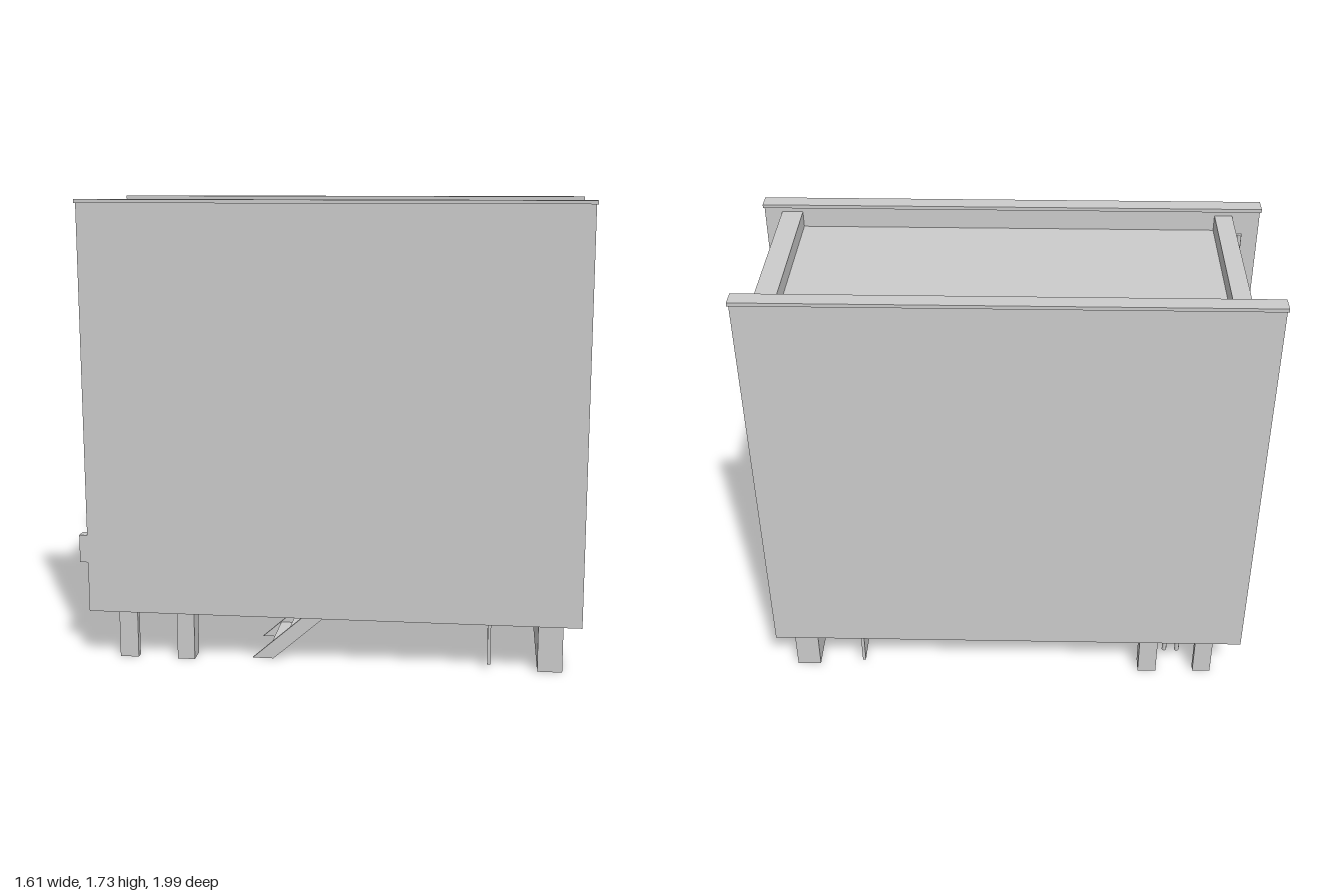
import * as THREE from 'three';

const concrete = new THREE.MeshStandardMaterial({ color: 0xcccccc });
concrete.name = 'concreteGrey';

export function createModel() {
  const model = new THREE.Group();
  model.name = 'buildingSection';
  const building = new THREE.Group();
  building.name = 'building';
  building.rotation.y = THREE.MathUtils.degToRad(30.3);
  model.add(building);

  const add = (name, geometry) => {
    const mesh = new THREE.Mesh(geometry, concrete);
    mesh.name = name;
    building.add(mesh);
    return mesh;
  };
  // Box given by its limits on each axis
  const box = (name, x0, x1, y0, y1, z0, z1) =>
    add(name, new THREE.BoxGeometry(x1 - x0, y1 - y0, z1 - z0)
      .translate((x0 + x1) / 2, (y0 + y1) / 2, (z0 + z1) / 2));
  const pipe = (name, x, z, y0, y1, r) =>
    add(name, new THREE.CylinderGeometry(r, r, y1 - y0, 8).translate(x, (y0 + y1) / 2, z));

  // Long side walls with coping
  for (const s of [-1, 1]) {
    const span = (name, a, b, ...rest) => box(name, Math.min(s * a, s * b), Math.max(s * a, s * b), ...rest);
    span('sideWall', 0.333, 0.384, 0.19, 1.717, -0.922, 0.922);
    span('sideCoping', 0.327, 0.389, 1.717, 1.73, -0.927, 0.927);
  }

  // Raised storeys, flat roof and end parapets
  box('storeys', -0.335, 0.335, 0.53, 1.64, -0.76, 0.77);
  box('backWall', -0.335, 0.335, 0.53, 1.70, -0.82, -0.755);
  box('frontWall', -0.335, 0.335, 0.52, 1.70, 0.78, 0.857);
  box('frontWallInner', -0.335, 0.335, 0.52, 1.64, 0.765, 0.78);

  // Ground floor front with recessed entrance
  box('entranceLeftWall', -0.335, -0.142, 0, 0.52, 0.765, 0.857);
  box('entranceRightJamb', 0.321, 0.337, 0, 0.52, 0.765, 0.857);
  box('entranceBack', -0.142, 0.321, 0, 0.52, 0.765, 0.797);
  box('door', 0.02, 0.264, 0.2, 0.5, 0.797, 0.802);
  box('doorHandle', 0.245, 0.253, 0.42, 0.5, 0.802, 0.81);
  box('doorRail', 0.02, 0.264, 0.42, 0.43, 0.802, 0.806);
  box('letterBox', -0.077, -0.027, 0.425, 0.485, 0.797, 0.846);
  box('hallPartition', -0.333, 0.333, 0.02, 0.53, 0.58, 0.592);

  // Windows: pane, frame bars and mullion, on both ends
  const windowAt = (x0, x1, y0, y1, z, dir) => {
    const plate = (name, a, b, c, d, t) =>
      box(name, a, b, c, d, Math.min(z, z + dir * t), Math.max(z, z + dir * t));
    plate('windowPane', x0, x1, y0, y1, 0.002);
    plate('windowLintel', x0 - 0.007, x1 + 0.007, y1 - 0.004, y1 + 0.006, 0.009);
    plate('windowSill', x0 - 0.007, x1 + 0.007, y0 - 0.006, y0 + 0.004, 0.009);
    const mid = (x0 + x1) / 2;
    for (const x of [x0, mid - 0.004, x1 - 0.008]) plate('windowBar', x, x + 0.008, y0, y1, 0.006);
  };
  for (const [y0, y1] of [[0.8, 1.03], [1.275, 1.505]]) {
    windowAt(-0.177, 0.17, y0, y1, 0.857, 1);
    windowAt(-0.105, 0.245, y0, y1, -0.82, -1);
  }

  // Service pipes and boxes on the front
  pipe('tallConduit', -0.279, 0.866, 0.45, 1.56, 0.007);
  box('conduitCap', -0.291, -0.267, 1.53, 1.56, 0.857, 0.876);
  box('lowerServiceBox', -0.291, -0.201, 0.30, 0.457, 0.856, 0.89);
  box('upperServiceBox', -0.263, -0.207, 1.01, 1.08, 0.857, 0.88);
  for (const x of [-0.252, -0.235, -0.219]) pipe('serviceConduit', x, 0.867, 0.45, 1.02, 0.005);

  // Drainpipe on the back, and a small box on the wall end
  pipe('drainpipe', -0.19, -0.829, 0.53, 1.70, 0.01);
  box('wallEndBox', -0.382, -0.336, 0.38, 0.485, -0.953, -0.922);

  // Columns under the raised floor
  box('cornerColumn', -0.345, -0.316, 0, 0.54, -0.818, -0.747);
  box('cornerColumn', 0.316, 0.345, 0, 0.54, -0.82, -0.75);
  box('innerColumn', -0.347, -0.272, 0, 0.54, -0.594, -0.528);
  box('innerColumn', 0.285, 0.35, 0, 0.54, -0.6, -0.528);
  for (const z of [-0.63, -0.68]) pipe('hangingPipe', 0.325, z, 0.1, 0.54, 0.009);

  // Stair up to the floor: two stringers with treads between
  const run = 0.22 / 0.19;
  const profile = new THREE.Shape([
    [-0.31, 0.004], [-0.23, 0.004], [-0.23 + 0.53 * run, 0.534], [-0.31 + 0.53 * run, 0.534],
  ].map(([z, y]) => new THREE.Vector2(z, y)));
  for (const x of [-0.305, -0.061]) {
    const geometry = new THREE.ExtrudeGeometry(profile, { depth: 0.012, bevelEnabled: false });
    add('stairStringer', geometry.rotateY(-Math.PI / 2).translate(x, 0, 0));
  }
  for (let i = 1; i <= 8; i++) {
    const y = i * 0.059, z = -0.27 + y * run;
    box('stairTread', -0.305, -0.073, y - 0.006, y + 0.006, z - 0.035, z + 0.03);
  }

  return model;
}
